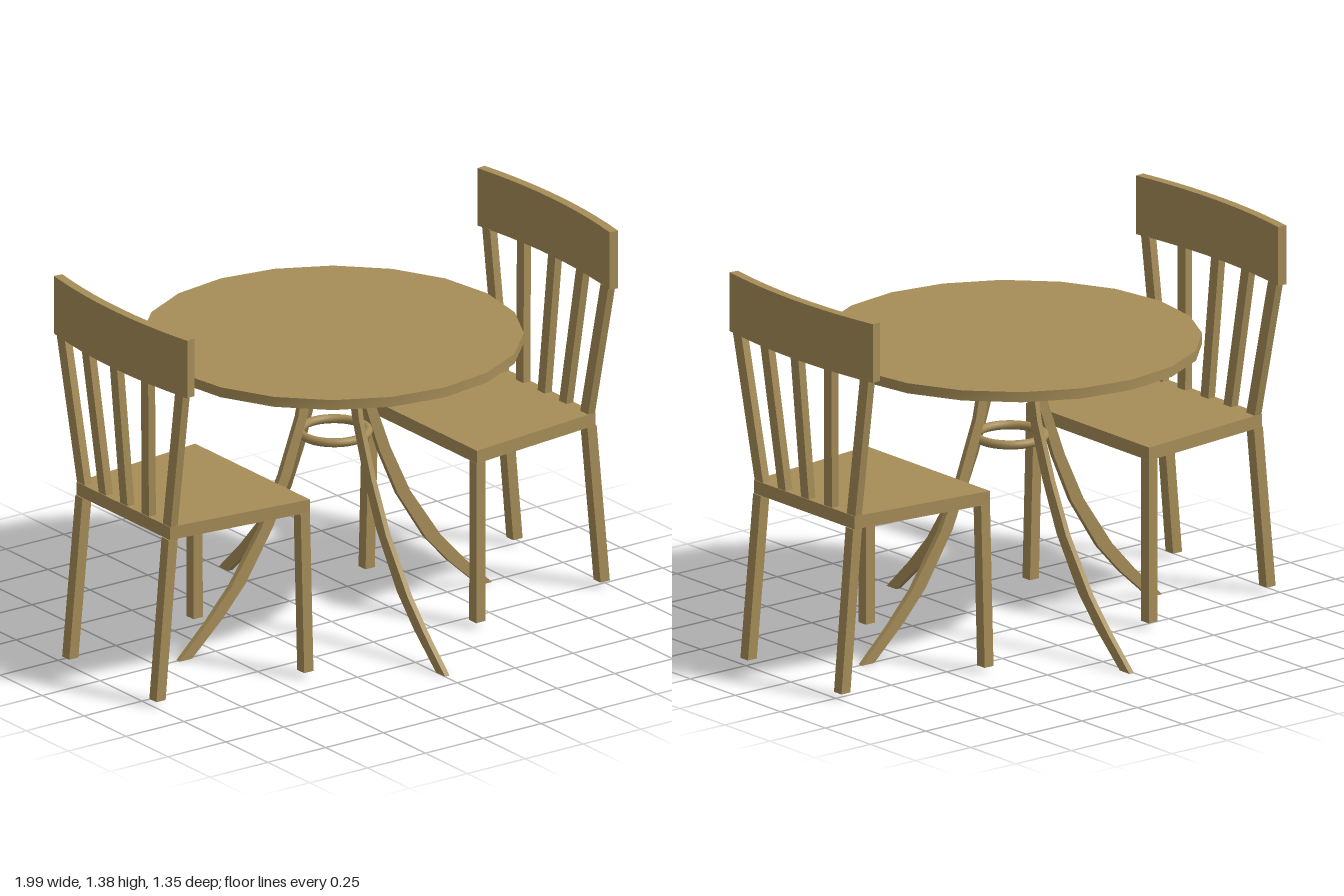
import * as THREE from 'three';
import { toCreasedNormals } from 'three/addons/utils/BufferGeometryUtils.js';

const wood = new THREE.MeshStandardMaterial({ color: 0xa68d58 });
wood.name = 'wood';

function add(parent, name, geometry) {
  const mesh = new THREE.Mesh(geometry, wood);
  mesh.name = name;
  parent.add(mesh);
  return mesh;
}

// Straight bar whose ends stay level: bottom and top are [x, y, z] centres.
function bar(bottom, top, wx, wz) {
  const geo = new THREE.BoxGeometry(wx, 1, wz);
  const p = geo.attributes.position;
  for (let i = 0; i < p.count; i++) {
    const end = p.getY(i) > 0 ? top : bottom;
    p.setXYZ(i, p.getX(i) + end[0], end[1], p.getZ(i) + end[2]);
  }
  geo.computeVertexNormals();
  return geo;
}

// Flat outline in x/z, raised from y0 to y1.
function slab(points, y0, y1) {
  const shape = new THREE.Shape(points.map(([x, z]) => new THREE.Vector2(x, -z)));
  const geo = new THREE.ExtrudeGeometry(shape, { depth: y1 - y0, bevelEnabled: false });
  geo.rotateX(-Math.PI / 2).translate(0, y0, 0);
  return toCreasedNormals(geo, 0.5);
}

function createChair() {
  const chair = new THREE.Group();
  const c = -0.024; // seat and legs sit slightly to one side of the top rail

  // Tapered seat
  add(chair, 'seat', slab([
    [0.378, c - 0.342], [0.378, c + 0.342], [0.937, c + 0.278], [0.937, c - 0.278],
  ], 0.612, 0.66));

  // Splayed legs
  for (const s of [-1, 1]) {
    add(chair, 'frontLeg', bar([0.389, 0.02, c + s * 0.33], [0.397, 0.612, c + s * 0.32], 0.04, 0.042));
    add(chair, 'backLeg', bar([0.977, 0.02, c + s * 0.26], [0.922, 0.612, c + s * 0.257], 0.04, 0.042));
  }

  // Five fanned uprights under the curved rail
  for (let i = -2; i <= 2; i++) {
    const bow = 0.028 * (1 - (i / 2) ** 2);
    const width = Math.abs(i) === 2 ? 0.047 : 0.043;
    add(chair, Math.abs(i) === 2 ? 'backPost' : 'backSlat',
      bar([0.919, 0.66, c + i * 0.128], [0.919 + bow, 1.172, i * 0.1765], 0.03, width));
  }

  // Bowed top rail
  const outer = [], inner = [];
  for (let i = 0; i <= 10; i++) {
    const t = i / 5 - 1;
    const x = 0.965 - 0.034 * t * t;
    outer.push([x, t * 0.398]);
    inner.unshift([x - 0.034, t * 0.394]);
  }
  add(chair, 'topRail', slab([...outer, ...inner], 1.17, 1.385));
  return chair;
}

function createTable() {
  const table = new THREE.Group();
  table.name = 'table';

  const top = add(table, 'tableTop',
    toCreasedNormals(new THREE.CylinderGeometry(0.668, 0.668, 0.037, 20), 0.5));
  top.position.set(0, 1.057, -0.007);

  // Flared leg profile: centre x, y, half width
  const profile = [
    [0.093, 1.04, 0.022], [0.142, 0.8, 0.021], [0.213, 0.6, 0.024], [0.295, 0.42, 0.027],
    [0.42, 0.23, 0.031], [0.52, 0.12, 0.031], [0.648, 0, 0.027],
  ];
  const outline = [
    ...profile.map(([x, y, w]) => new THREE.Vector2(x + w, y)),
    ...profile.map(([x, y, w]) => new THREE.Vector2(x - w, y)).reverse(),
  ];
  const legGeo = toCreasedNormals(new THREE.ExtrudeGeometry(new THREE.Shape(outline),
    { depth: 0.02, bevelEnabled: false }).translate(0, 0, -0.01), 0.5);
  for (let i = 0; i < 4; i++) {
    add(table, 'tableLeg', legGeo).rotation.y = i * Math.PI / 2;
  }

  // Ring tying the legs together
  const ring = add(table, 'braceRing', new THREE.TorusGeometry(0.12, 0.016, 10, 32));
  ring.rotation.x = Math.PI / 2;
  ring.position.y = 0.712;

  table.position.set(0.01, 0, 0.002);
  return table;
}

export function createModel() {
  const model = new THREE.Group();
  model.name = 'diningSet';
  model.add(createTable());

  // Two facing chairs
  ['leftChair', 'rightChair'].forEach((name, i) => {
    const chair = createChair();
    chair.name = name;
    chair.rotation.y = i * Math.PI;
    chair.position.z = 0.027;
    model.add(chair);
  });
  return model;
}
